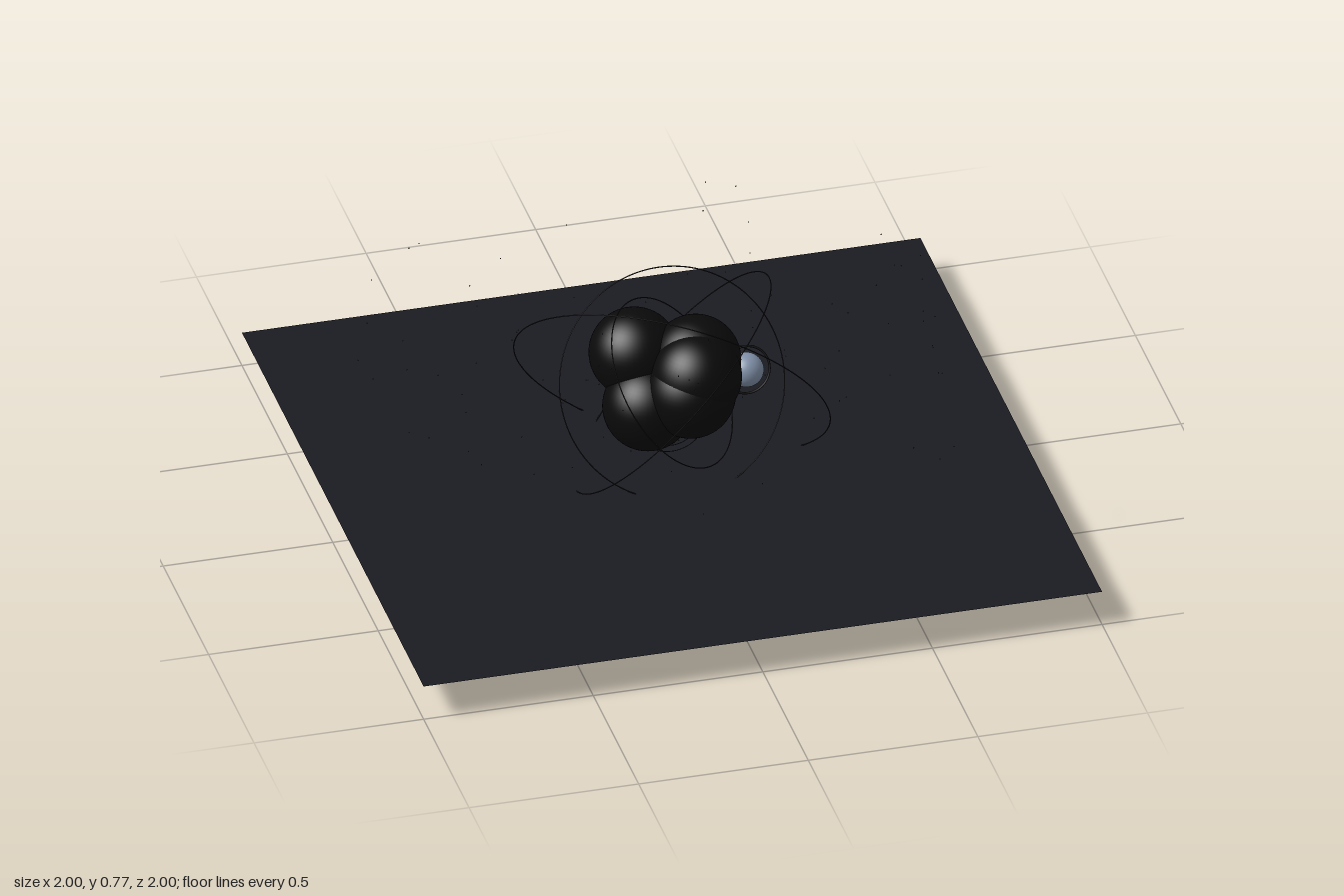
import * as THREE from 'three';

const CENTRE = new THREE.Vector3(0, 0.373, 0);

export function createModel() {
  const model = new THREE.Group();
  const paint = (color, extra) => new THREE.MeshStandardMaterial({ color, ...extra });
  const black = paint(0x0a0a0a);
  const dark = paint(0x1a1a1a);
  const steel = paint(0x8090a8);
  const floorMat = paint(0x1a1a22, { side: THREE.DoubleSide });

  const add = (name, geometry, material, position) => {
    const mesh = new THREE.Mesh(geometry, material);
    mesh.name = name;
    mesh.position.copy(position);
    model.add(mesh);
    return mesh;
  };

  // thin ring whose axis points along the given normal
  const ring = (name, radius, tube, normal, position) => {
    const mesh = add(name, new THREE.TorusGeometry(radius, tube, 6, 128), dark, position);
    const axis = new THREE.Vector3(...normal).normalize();
    mesh.quaternion.setFromUnitVectors(new THREE.Vector3(0, 0, 1), axis);
  };

  // square floor sheet
  const floor = add('floor', new THREE.PlaneGeometry(2, 2), floorMat, new THREE.Vector3(0, 0.108, 0));
  floor.rotation.x = -Math.PI / 2;

  // clustered core
  const ball = new THREE.SphereGeometry(0.13, 48, 32);
  [
    [-0.085, 0.43, -0.1],
    [0.075, 0.428, -0.02],
    [-0.07, 0.305, -0.005],
    [0.04, 0.365, 0.055],
    [0.06, 0.412, 0.045],
  ].forEach((p) => add('nucleusBall', ball, black, new THREE.Vector3(...p)));

  // tilted orbits around the core
  [
    [0.464, [0.425, 0.595, -0.68]],
    [0.333, [0.04, 0.45, 0.89]],
    [0.41, [-0.68, 0.685, -0.29]],
    [0.262, [0.66, 0.6, 0.45]],
  ].forEach(([radius, normal]) => ring('orbit', radius, 0.0017, normal, CENTRE));

  // small concentric rings under the core
  [0.06, 0.08, 0.1].forEach((r) =>
    ring('waveRing', r, 0.0012, [0, 0, 1], new THREE.Vector3(0, 0.245, 0)));

  // electron with its halo
  const electronAt = new THREE.Vector3(0.265, 0.275, -0.17);
  add('electron', new THREE.SphereGeometry(0.05, 32, 24), steel, electronAt);
  ring('electronHalo', 0.069, 0.0035, [0.05, 0.3, 0.95], electronAt);

  // drifting dust
  let seed = 7;
  const random = () => (seed = (seed * 16807) % 2147483647) / 2147483647;
  const between = (a, b) => a + (b - a) * random();
  const speck = new THREE.SphereGeometry(0.002, 6, 4);
  for (let i = 0; i < 100; i++) {
    const p = new THREE.Vector3(between(-0.83, 0.83), between(0.18, 0.77), between(-0.5, 0.5));
    add('dustSpeck', speck, dark, p);
  }
  return model;
}
